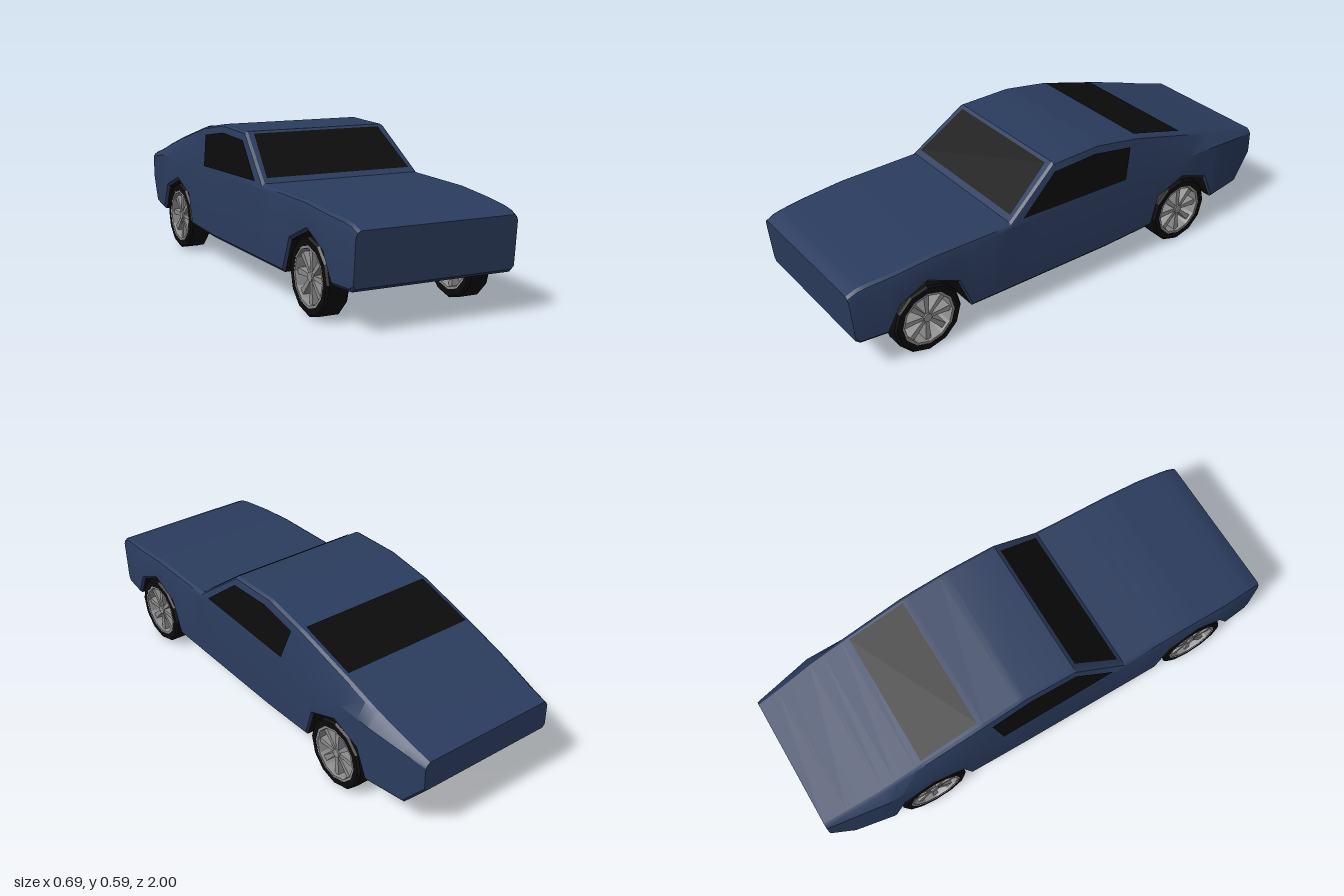
import * as THREE from 'three';
import { toCreasedNormals } from 'three/addons/utils/BufferGeometryUtils.js';

const navy = new THREE.MeshStandardMaterial({ color: 0x2b3c5e });
const black = new THREE.MeshStandardMaterial({ color: 0x0b0b0b });
const glass = new THREE.MeshStandardMaterial({ color: 0x0b0b0b, side: THREE.DoubleSide });
const metal = new THREE.MeshStandardMaterial({ color: 0x8c8c8c, side: THREE.DoubleSide });

// Body curves as [z, value] from nose to tail
const TOP = [[1, 0.362], [0.965, 0.378], [0.93, 0.385], [0.66, 0.41], [0.32, 0.415], [0.1, 0.585],
  [-0.12, 0.592], [-0.32, 0.56], [-0.6, 0.485], [-0.9, 0.395], [-1, 0.37]];
const BOTTOM = [[1, 0.165], [0.965, 0.152], [0.86, 0.152], [0.81, 0.25], [0.69, 0.308], [0.555, 0.25],
  [0.5, 0.12], [-0.15, 0.122], [-0.39, 0.132], [-0.425, 0.25], [-0.56, 0.303], [-0.69, 0.255],
  [-0.74, 0.145], [-0.91, 0.145], [-1, 0.25]];
const BELT = [[1, 0.34], [0.66, 0.37], [0.32, 0.4], [-0.3, 0.4], [-0.75, 0.39], [-1, 0.35]];
const BELT_X = [[1, 0.32], [0.82, 0.34], [0.4, 0.342], [-0.3, 0.342], [-0.75, 0.34], [-1, 0.295]];
const SHOULDER_X = [[1, 0.315], [0.82, 0.33], [0.32, 0.338], [0.1, 0.308], [-0.12, 0.306],
  [-0.32, 0.31], [-0.75, 0.305], [-1, 0.288]];

// Linear interpolation along a curve
function at(curve, z) {
  const i = Math.max(1, curve.findIndex((p) => p[0] <= z + 1e-6));
  const [a, b] = [curve[i - 1], curve[i]];
  return a[1] + (b[1] - a[1]) * (a[0] - z) / (a[0] - b[0]);
}

function add(parent, name, geometry, material) {
  const mesh = new THREE.Mesh(geometry, material);
  mesh.name = name;
  parent.add(mesh);
  return mesh;
}

function fromTriangles(points) {
  const g = new THREE.BufferGeometry();
  g.setAttribute('position', new THREE.Float32BufferAttribute(points.flat(), 3));
  g.computeVertexNormals();
  return g;
}

// Flat polygon as a fan
function panel(corners) {
  const t = [];
  for (let i = 1; i < corners.length - 1; i++) t.push(corners[0], corners[i], corners[i + 1]);
  return fromTriangles(t);
}

// Ten-point cross-section at one station, counter-clockwise from the front
function section(z) {
  const yt = at(TOP, z), yb = at(BOTTOM, z), w = at(BELT_X, z), s = at(SHOULDER_X, z);
  const lean = z > 0.99 ? 0.09 : 0;
  const half = [[w - 0.01, yb], [w, yb + 0.012], [w, at(BELT, z)], [s, yt - 0.008], [s - 0.012, yt]]
    .map(([x, y]) => [x, y, z - (yt - y) * lean]);
  return [...half, ...half.slice().reverse().map(([x, y, d]) => [-x, y, d])];
}

function buildBody(car) {
  const zs = [...new Set([TOP, BOTTOM, BELT, BELT_X, SHOULDER_X].flat().map((p) => p[0]))].sort((a, b) => b - a);
  const rings = zs.map(section);
  const shell = [], floor = [];
  for (let i = 0; i < rings.length - 1; i++) {
    for (let j = 0; j < 10; j++) {
      const k = (j + 1) % 10;
      const [a, b, c, d] = [rings[i][j], rings[i][k], rings[i + 1][k], rings[i + 1][j]];
      const under = j === 9 && i > 0 && zs[i] > -0.9;
      (under ? floor : shell).push(a, d, c, a, c, b);
    }
  }
  // Nose and tail faces
  const nose = rings[0], tail = rings[rings.length - 1];
  for (let j = 1; j < 9; j++) {
    shell.push(nose[0], nose[j], nose[j + 1], tail[0], tail[j + 1], tail[j]);
  }
  add(car, 'bodyShell', toCreasedNormals(fromTriangles(shell), 0.45), navy);
  add(car, 'underbody', toCreasedNormals(fromTriangles(floor), 0.3), black);
}

function buildWindows(car) {
  const lift = 0.004;
  // Windscreen and rear window lie on the roof line
  const screen = (name, z0, x0, z1, x1) => {
    const y0 = at(TOP, z0) + lift, y1 = at(TOP, z1) + lift;
    add(car, name, panel([[-x0, y0, z0], [x0, y0, z0], [x1, y1, z1], [-x1, y1, z1]]), glass);
  };
  screen('windscreen', 0.302, 0.309, 0.115, 0.276);
  screen('rearWindow', -0.322, 0.285, -0.57, 0.285);
  // Side windows lean in with the cabin
  const outline = [[0.265, 0.418], [0.1, 0.552], [-0.1, 0.56], [-0.275, 0.533], [-0.24, 0.408]];
  for (const side of [1, -1]) {
    const corners = outline.map(([z, y]) => [side * (0.345 - (y - 0.4) * 0.185), y, z]);
    if (side > 0) corners.reverse();
    add(car, side > 0 ? 'leftSideWindow' : 'rightSideWindow', panel(corners.reverse()), glass);
  }
}

function lathe(points) {
  const g = new THREE.LatheGeometry(points.map(([r, y]) => new THREE.Vector2(r, y)), 12);
  return toCreasedNormals(g.rotateZ(-Math.PI / 2), 0.3);
}

function buildWheel() {
  const wheel = new THREE.Group();
  add(wheel, 'tyre', lathe([[0.112, -0.045], [0.136, -0.045], [0.144, -0.037], [0.144, 0.037],
    [0.136, 0.045], [0.112, 0.045]]), black);
  add(wheel, 'rim', lathe([[0.112, 0.044], [0.103, 0.044], [0.101, 0.036], [0.101, -0.036],
    [0.103, -0.044], [0.112, -0.044]]), metal);
  add(wheel, 'hub', new THREE.CylinderGeometry(0.018, 0.018, 0.078, 12).rotateZ(Math.PI / 2), metal);
  // Tapered spokes, open between
  const blade = new THREE.Shape([[-0.006, 0.012], [0.006, 0.012], [0.012, 0.102], [-0.012, 0.102]]
    .map(([x, y]) => new THREE.Vector2(x, y)));
  const spoke = new THREE.ExtrudeGeometry(blade, { depth: 0.066, bevelEnabled: false });
  spoke.translate(0, 0, -0.033).rotateY(Math.PI / 2);
  for (let i = 0; i < 8; i++) add(wheel, 'spoke', spoke, metal).rotation.x = i * Math.PI / 4;
  return wheel;
}

export function createModel() {
  const car = new THREE.Group();
  car.name = 'car';
  buildBody(car);
  buildWindows(car);
  for (const [end, z] of [['front', 0.69], ['rear', -0.558]]) {
    for (const side of [1, -1]) {
      const wheel = buildWheel();
      wheel.name = end + (side > 0 ? 'Left' : 'Right') + 'Wheel';
      wheel.position.set(side * 0.29, 0.144, z);
      car.add(wheel);
    }
  }
  return car;
}
